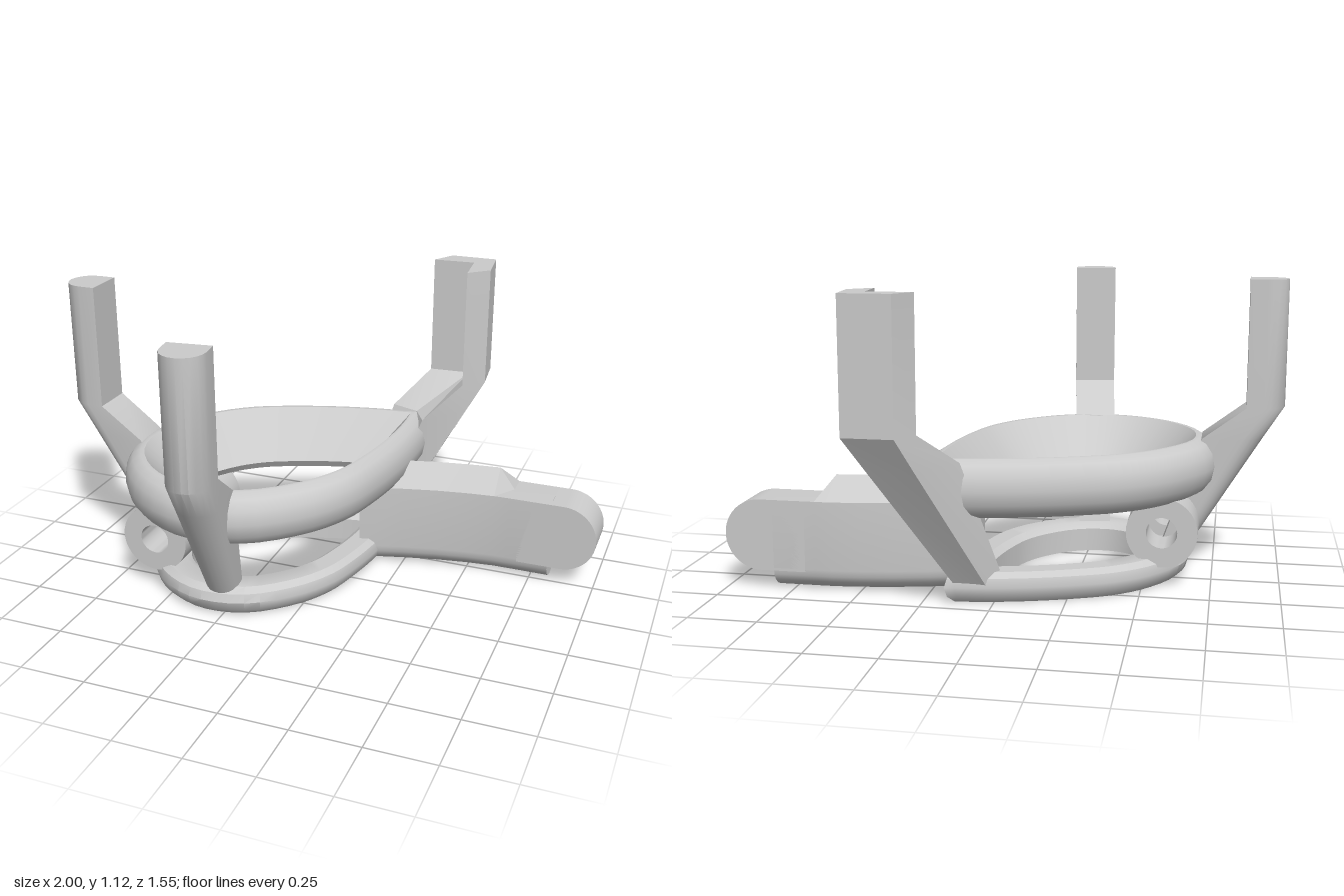
import * as THREE from 'three';
import { toCreasedNormals } from 'three/addons/utils/BufferGeometryUtils.js';

const material = new THREE.MeshStandardMaterial({ color: 0xcccccc });

// Skin a row of matching cross-sections; ends are capped unless the row is closed.
function loft(sections, { closed = false, flat = null, crease = 0.6 } = {}) {
  const n = sections[0].length, m = sections.length;
  const index = [];
  for (let i = 0; i < (closed ? m : m - 1); i++) {
    for (let j = 0; j < n; j++) {
      const a = i * n + j, b = i * n + (j + 1) % n;
      const c = ((i + 1) % m) * n + j, d = ((i + 1) % m) * n + (j + 1) % n;
      index.push(a, b, d, a, d, c);
    }
  }
  if (!closed) {
    const base = (m - 1) * n;
    for (const cap of [0, base]) {
      const pts = sections[cap / n].map(flat);
      const cw = THREE.ShapeUtils.isClockWise(pts);
      for (const [p, q, r] of THREE.ShapeUtils.triangulateShape(pts, [])) {
        // cap triangles follow the section's own winding at the far end, reversed at the start
        const tri = THREE.ShapeUtils.isClockWise([pts[p], pts[q], pts[r]]) === cw ? [p, q, r] : [p, r, q];
        if (cap === 0) tri.reverse();
        index.push(...tri.map(k => k + cap));
      }
    }
  }
  // Turn the whole skin outward if its enclosed volume is negative.
  const v = sections.flat();
  let volume = 0;
  for (let i = 0; i < index.length; i += 3) {
    volume += v[index[i]].dot(new THREE.Vector3().crossVectors(v[index[i + 1]], v[index[i + 2]]));
  }
  if (volume < 0) index.reverse();
  const geometry = new THREE.BufferGeometry().setFromPoints(v);
  geometry.setIndex(index);
  return toCreasedNormals(geometry, crease);
}

const V3 = (x, y, z) => new THREE.Vector3(x, y, z);
const fromAbove = p => new THREE.Vector2(p.x, p.z);
const fromSide = p => new THREE.Vector2(p.z, p.y);

// Pear outline: s runs along the axis to the tip, t across it.
const half = [[-0.48, 0], [-0.42, 0.24], [-0.25, 0.4], [0, 0.45], [0.2, 0.42],
  [0.377, 0.336], [0.549, 0.229], [0.707, 0.107], [0.82, 0]];
const bottomToTip = [[-0.42, -0.24], ...half].map(([s, t]) => V3(s, t, 0));
const curve = new THREE.CatmullRomCurve3(bottomToTip);
const side = [];
for (let i = 0; i <= 28; i++) {
  const u = 1 / 9 + (8 / 9) * (i / 28);
  side.push(curve.getPoint(u));
}
const outline = [...side, ...side.slice(1, -1).reverse().map(p => V3(p.x, -p.y, 0))];

// Point of the outline moved inward by d, at height y.
function pearPoint(p, d, y) {
  const s = -0.48 + d + (p.x + 0.48) * (1.3 - 2.39 * d) / 1.3;
  const t = p.y * (0.45 - d) / 0.45;
  return V3(-0.28 + 0.647 * s + 0.762 * t, y, 0.07 - 0.762 * s + 0.647 * t);
}
const pearRing = profile =>
  loft(outline.map(p => profile.map(([d, y]) => pearPoint(p, d, y))), { closed: true });

// Prong with a flat inner face and a rounded outer face; levels are [y, inner, outer, halfWidth].
function roundProng(ox, oz, dx, dz, levels) {
  const place = (r, w, y) => V3(ox + dx * r - dz * w, y, oz + dz * r + dx * w);
  return loft(levels.map(([y, inner, outer, w]) => {
    const pts = [place(inner, w, y), place(inner, -w, y)];
    for (let i = 0; i <= 10; i++) {
      const a = -Math.PI / 2 + Math.PI * i / 10;
      pts.push(place(outer - w + w * Math.cos(a), w * Math.sin(a), y));
    }
    return pts;
  }), { flat: fromAbove });
}

// Arm cross-section: rounded underside, straight sides and a peaked top.
function armSection([x, z, peak]) {
  const pts = [V3(x, 0.335, z - 0.085)];
  for (let i = 0; i <= 10; i++) {
    const a = Math.PI + Math.PI * i / 10;
    pts.push(V3(x, 0.08 + 0.08 * Math.sin(a), z + 0.085 * Math.cos(a)));
  }
  pts.push(V3(x, 0.335, z + 0.085), V3(x, peak, z));
  return pts;
}

export function createModel() {
  const group = new THREE.Group();
  const add = (name, geometry, x = 0, y = 0, z = 0) => {
    const mesh = new THREE.Mesh(geometry, material);
    mesh.name = name;
    mesh.position.set(x, y, z);
    group.add(mesh);
  };

  // Pear-shaped rings
  add('upperRing', pearRing([[0.07, 0.32], [0.035, 0.34], [0.01, 0.375], [0, 0.425], [0.008, 0.475],
    [0.03, 0.512], [0.06, 0.53], [0.075, 0.53], [0.23, 0.35], [0.21, 0.32]]));
  add('lowerRing', pearRing([[0.125, 0], [0.1, 0.025], [0.09, 0.06], [0.1, 0.092], [0.125, 0.11],
    [0.2, 0.11], [0.23, 0.09], [0.23, 0]]));

  // Rounded prongs
  add('rightProng', roundProng(0, 0.1, -1, 0, [[1.12, 0.86, 1, 0.078], [0.65, 0.86, 1, 0.078],
    [0.53, 0.7, 0.924, 0.076], [0.06, 0.54, 0.635, 0.055]]));
  add('frontProng', roundProng(-0.316, 0, 0.13, 0.9915, [[1.12, 0.635, 0.78, 0.08], [0.65, 0.635, 0.78, 0.08],
    [0.53, 0.47, 0.705, 0.078], [0.06, 0.34, 0.425, 0.06]]));

  // V-shaped prong at the tip
  const vTop = [[0.43, -0.78], [0.25, -0.78], [0.2, -0.69], [0.36, -0.7], [0.375, -0.54], [0.45, -0.61]];
  const vRim = [[0.37, -0.71], [0.204, -0.71], [0.09, -0.54], [0.2, -0.5], [0.25, -0.41], [0.386, -0.557]];
  const vFoot = [[0.13, -0.44], [0.02, -0.43], [-0.03, -0.36], [0.05, -0.33], [0.09, -0.28], [0.13, -0.35]];
  add('tipProng', loft([[vTop, 1.115], [vTop, 0.65], [vRim, 0.53], [vFoot, 0.06]]
    .map(([pts, y]) => pts.map(([x, z]) => V3(x, y, z))), { flat: fromAbove, crease: 0.3 }));

  // Side arm with a ridge that slopes away before the rounded end
  add('arm', loft([[0.09, -0.208, 0.42], [0.25, -0.252, 0.42], [0.38, -0.283, 0.42], [0.5, -0.303, 0.42],
    [0.6, -0.314, 0.42], [0.66, -0.315, 0.336], [0.82, -0.315, 0.336]].map(armSection),
  { flat: fromSide, crease: 0.4 }));
  const end = new THREE.Shape();
  end.moveTo(0.7, 0.07);
  end.lineTo(0.868, 0.07);
  end.absarc(0.868, 0.2025, 0.1325, -Math.PI / 2, Math.PI / 2, false);
  end.lineTo(0.7, 0.335);
  add('armEnd', toCreasedNormals(new THREE.ExtrudeGeometry(end,
    { depth: 0.17, bevelEnabled: false, curveSegments: 20 }), 0.5), 0, 0, -0.4);

  // Pair of hinge eyelets between the rings
  const eye = new THREE.Shape().absarc(0, 0, 0.13, 0, Math.PI * 2, false);
  eye.holes.push(new THREE.Path().absarc(0, 0, 0.057, 0, Math.PI * 2, true));
  const eyelet = toCreasedNormals(new THREE.ExtrudeGeometry(eye,
    { depth: 0.162, bevelEnabled: false, curveSegments: 20 }), 0.6);
  add('frontEyelet', eyelet, -0.57, 0.21, 0.18);
  add('backEyelet', eyelet, -0.57, 0.21, -0.147);

  return group;
}
